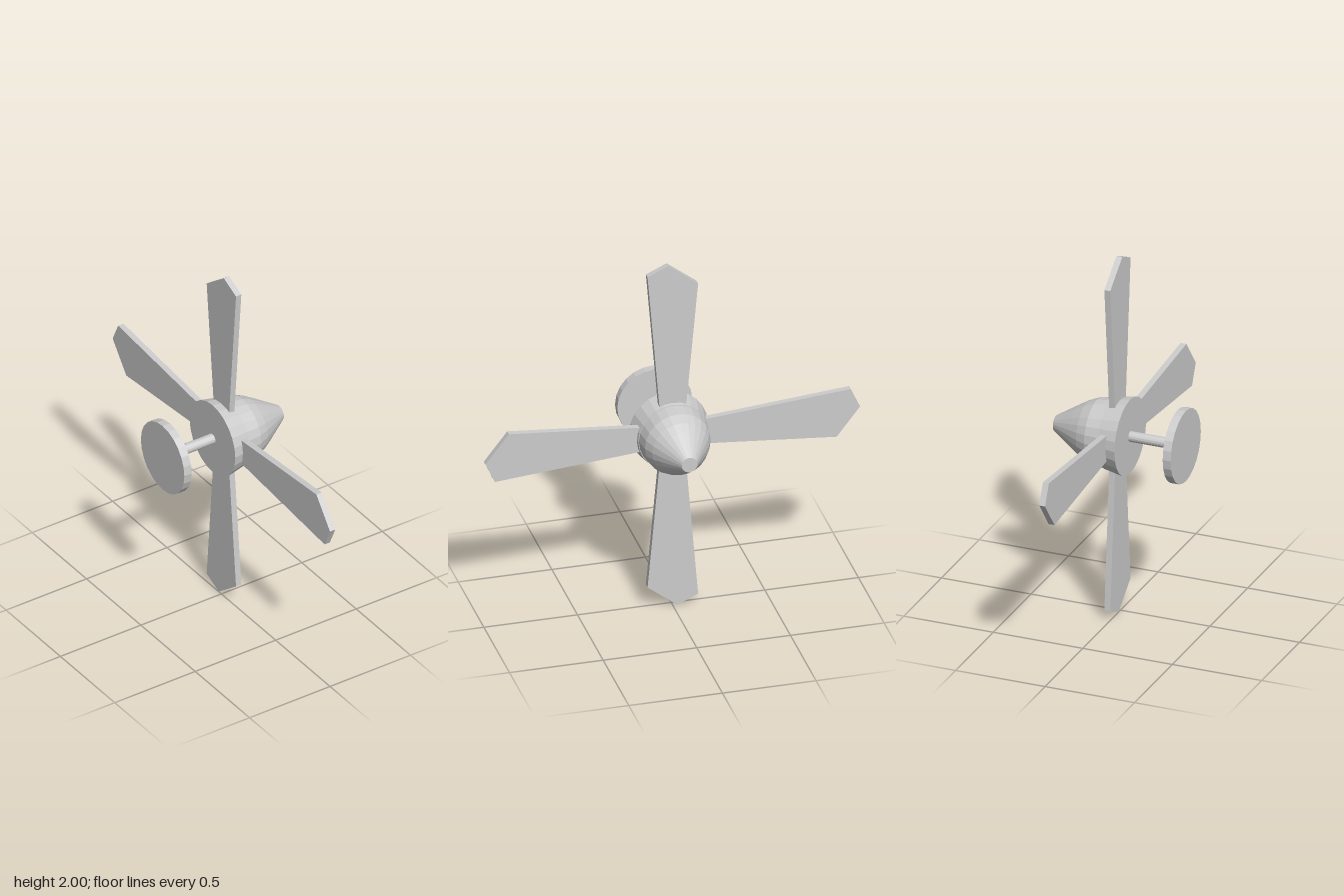
import * as THREE from 'three';

const SEGMENTS = 24;

// Faceted solid of revolution around the x axis; profile is [x, radius] from back to nose
function turned(name, profile, material, segments = SEGMENTS) {
  const points = profile.map(([x, r]) => new THREE.Vector2(r, x));
  const geometry = new THREE.LatheGeometry(points, segments).rotateZ(-Math.PI / 2).toNonIndexed();
  geometry.computeVertexNormals();
  const mesh = new THREE.Mesh(geometry, material);
  mesh.name = name;
  return mesh;
}

export function createModel() {
  const grey = new THREE.MeshStandardMaterial({ color: 0xcccccc, flatShading: true });
  grey.name = 'light grey';

  const model = new THREE.Group();
  model.name = 'propeller';

  // Everything turns about the x axis at mid height
  const rotor = new THREE.Group();
  rotor.name = 'rotor';
  rotor.position.y = 1;
  model.add(rotor);

  // Hub behind the spinner, slightly wider at the back
  rotor.add(turned('hub', [[-0.055, 0], [-0.055, 0.21], [0.05, 0.189], [0.05, 0]], grey));

  // Bullet-shaped spinner with a small flat nose
  rotor.add(turned('spinner', [
    [0.05, 0], [0.05, 0.186], [0.13, 0.176], [0.235, 0.122], [0.36, 0.042], [0.36, 0],
  ].flatMap((p, i) => (i === 2 ? [p, [0.185, 0.152]] : [p])), grey));

  // Shaft and rear disc
  rotor.add(turned('shaft', [[-0.33, 0], [-0.33, 0.028], [-0.05, 0.028], [-0.05, 0]], grey, 16));
  rotor.add(turned('rearDisc', [[-0.365, 0], [-0.365, 0.2], [-0.32, 0.2], [-0.32, 0]], grey));

  // Four flat blades, flaring outwards to a skewed point
  const outline = new THREE.Shape([
    [-0.065, 0.1], [0.065, 0.1], [0.135, 0.875], [-0.025, 1], [-0.135, 0.95],
  ].map(([x, y]) => new THREE.Vector2(x, y)));
  const bladeGeometry = new THREE.ExtrudeGeometry(outline, { depth: 0.033, bevelEnabled: false });
  bladeGeometry.rotateY(Math.PI / 2);
  for (let i = 0; i < 4; i++) {
    const blade = new THREE.Mesh(bladeGeometry, grey);
    blade.name = `blade${i + 1}`;
    blade.rotation.x = (i * Math.PI) / 2;
    rotor.add(blade);
  }

  return model;
}
